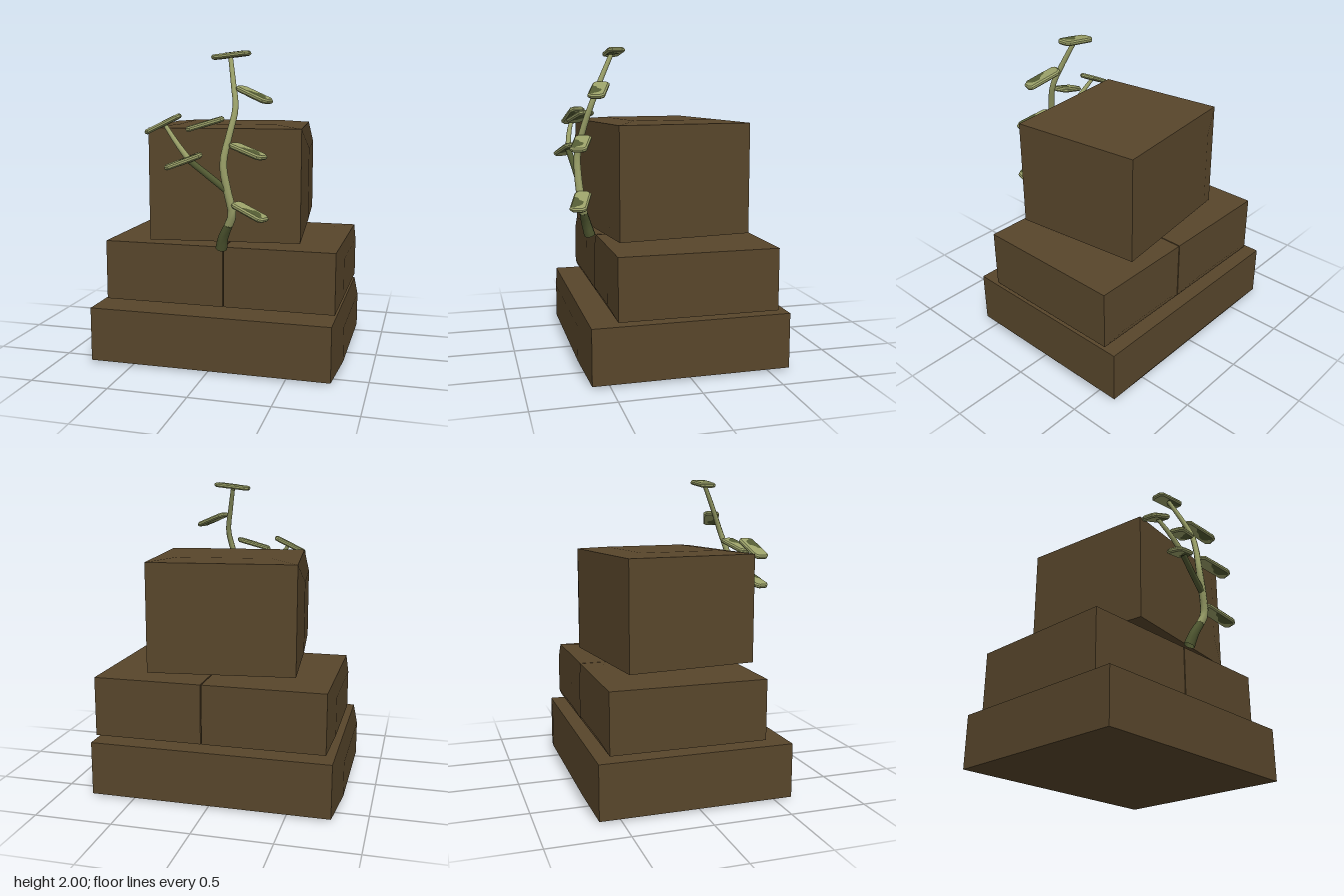
import * as THREE from 'three';

const material = (name, color, side = THREE.FrontSide) => {
  const m = new THREE.MeshStandardMaterial({ color, side });
  m.name = name;
  return m;
};

// Block whose six faces each swell into a shallow raised panel
function blockGeometry(w, h, d, bulge) {
  const g = new THREE.BoxGeometry(2, 2, 2, 3, 3, 3);
  const p = g.attributes.position;
  const half = [w / 2, h / 2, d / 2];
  for (let i = 0; i < p.count; i++) {
    const c = [p.getX(i), p.getY(i), p.getZ(i)];
    const outer = c.map((v) => Math.abs(v) > 0.99);
    const onFace = outer.filter(Boolean).length === 1;
    const q = c.map((v, k) => {
      if (!onFace) return Math.sign(v) * half[k];
      return Math.sign(v) * (outer[k] ? half[k] + bulge[k] : half[k] * 0.64);
    });
    p.setXYZ(i, ...q);
  }
  return g;
}

// Tapered stem through a list of points
function stemGeometry(points, r0, r1, steps) {
  const curve = new THREE.CatmullRomCurve3(points.map((a) => new THREE.Vector3(...a)));
  const sides = 7;
  const g = new THREE.TubeGeometry(curve, steps, 1, sides, false);
  const p = g.attributes.position;
  const v = new THREE.Vector3();
  for (let i = 0; i < p.count; i++) {
    const u = Math.floor(i / (sides + 1)) / steps;
    const c = curve.getPointAt(u);
    v.fromBufferAttribute(p, i).sub(c).multiplyScalar(r0 + (r1 - r0) * u).add(c);
    p.setXYZ(i, v.x, v.y, v.z);
  }
  return g;
}

// Flat slab with clipped corners, lying in the xz plane
function leafGeometry() {
  const x = 0.112, z = 0.045, c = 0.018;
  const s = new THREE.Shape([
    [-x, -z + c], [-x + c, -z], [x - c, -z], [x, -z + c],
    [x, z - c], [x - c, z], [-x + c, z], [-x, z - c],
  ].map((a) => new THREE.Vector2(...a)));
  const g = new THREE.ExtrudeGeometry(s, {
    depth: 0.012, bevelEnabled: true, bevelSegments: 1, bevelThickness: 0.009, bevelSize: 0.009,
  });
  g.translate(0, 0, -0.006);
  g.rotateX(-Math.PI / 2);
  return g;
}

// Dark patch painted on a leaf
function patchGeometry() {
  const s = new THREE.Shape();
  s.moveTo(-0.035, -0.045);
  s.lineTo(0.094, -0.045);
  s.lineTo(0.105, -0.02);
  s.quadraticCurveTo(0.085, -0.015, 0.08, 0.005);
  s.quadraticCurveTo(0.055, 0.035, 0.02, 0.02);
  s.quadraticCurveTo(0.01, -0.012, -0.02, -0.015);
  s.lineTo(-0.035, -0.045);
  const g = new THREE.ShapeGeometry(s, 5);
  g.rotateX(-Math.PI / 2);
  return g;
}

export function createModel() {
  const group = new THREE.Group();
  const stone = material('brown stone', 0x58462b);
  const light = material('light green', 0x9aa068, THREE.DoubleSide);
  const dark = material('dark green', 0x535b33, THREE.DoubleSide);

  const add = (name, geometry, mat, parent = group) => {
    const m = new THREE.Mesh(geometry, mat);
    m.name = name;
    parent.add(m);
    return m;
  };

  // Stacked blocks: name, size, centre, bulge, turn
  const blocks = [
    ['baseBlock', [1.56, 0.35, 1.245], [0, 0.19, -0.013], [0.047, 0.013, 0.04], 0],
    ['middleBlockRight', [0.79, 0.39, 1.005], [-0.335, 0.585, -0.053], [0.035, 0.012, 0.038], 0],
    ['middleBlockLeft', [0.71, 0.39, 1.005], [0.422, 0.585, -0.053], [0.03, 0.012, 0.038], 0],
    ['topBlock', [0.955, 0.71, 0.875], [0.02, 1.17, 0.009], [0.04, 0.018, 0.055], 0.117],
  ];
  for (const [name, size, centre, bulge, turn] of blocks) {
    const b = add(name, blockGeometry(...size, bulge), stone);
    b.position.set(...centre);
    b.rotation.y = turn;
  }

  // Climbing vine
  add('vineRoot', stemGeometry(
    [[0.065, 0.78, 0.49], [0.085, 0.86, 0.515], [0.125, 0.94, 0.54]], 0.038, 0.027, 4), dark);
  add('vineStem', stemGeometry(
    [[0.125, 0.94, 0.54], [0.152, 1.01, 0.555], [0.125, 1.16, 0.57], [0.1, 1.32, 0.57],
      [0.13, 1.5, 0.53], [0.153, 1.65, 0.48], [0.125, 1.79, 0.42], [0.085, 1.955, 0.34]], 0.028, 0.015, 20), light);
  add('vineBranchBase', stemGeometry(
    [[0.12, 1.16, 0.57], [0, 1.255, 0.585], [-0.1, 1.335, 0.6]], 0.022, 0.02, 4), dark);
  add('vineBranch', stemGeometry(
    [[-0.1, 1.335, 0.6], [-0.19, 1.44, 0.58], [-0.28, 1.55, 0.54]], 0.02, 0.013, 5), light);

  // Leaves: centre, turn around y, tilt around z
  const leaf = leafGeometry();
  const patch = patchGeometry();
  const leaves = [
    [[0.085, 1.972, 0.325], 0, 0.11],
    [[0.265, 1.732, 0.457], -0.36, -0.36],
    [[0.255, 1.4, 0.572], -0.33, -0.3],
    [[0.268, 1.035, 0.58], -0.33, -0.36],
    [[-0.292, 1.553, 0.537], 0.2, 0.46],
    [[-0.025, 1.556, 0.53], 0.3, 0.29],
    [[-0.14, 1.333, 0.605], 0.3, 0.35],
  ];
  leaves.forEach(([centre, turn, tilt], i) => {
    const g = new THREE.Group();
    g.name = `leaf${i + 1}`;
    g.position.set(...centre);
    g.rotation.set(0, turn, tilt, 'YZX');
    add('leafBlade', leaf, light, g);
    add('leafPatchTop', patch, dark, g).position.y = 0.0165;
    add('leafPatchUnder', patch, dark, g).position.y = -0.0165;
    group.add(g);
  });

  return group;
}
